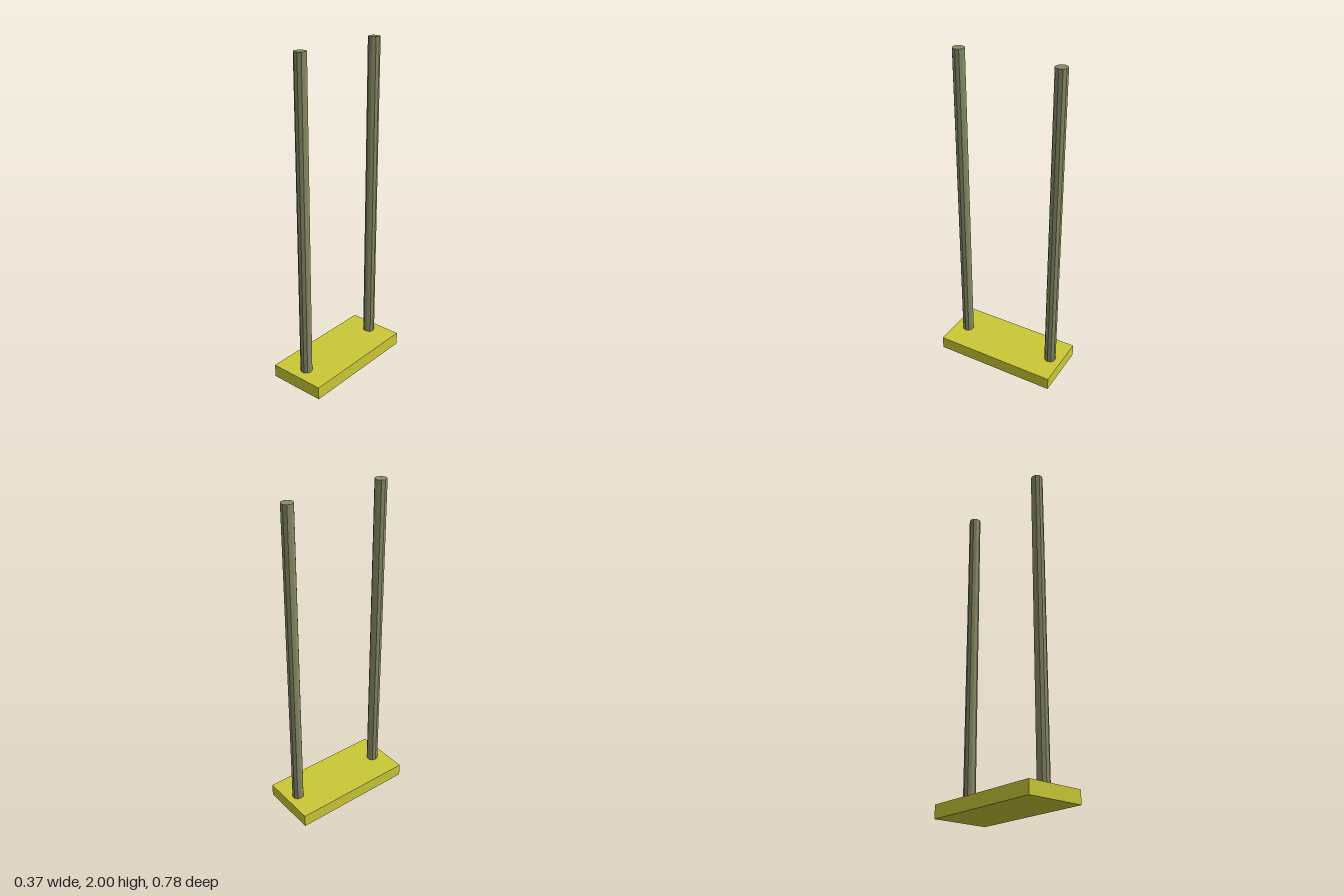
import * as THREE from 'three';

export function createModel() {
  const model = new THREE.Group();
  const yellow = new THREE.MeshStandardMaterial({ color: 0xcac836, flatShading: true });
  const olive = new THREE.MeshStandardMaterial({ color: 0x888c66, flatShading: true });
  const baseHeight = 0.08, height = 2;

  // The whole assembly is turned very slightly about the vertical
  const assembly = new THREE.Group();
  assembly.name = 'postStand';
  assembly.rotation.y = -0.0135;
  model.add(assembly);

  // Flat base plate
  const base = new THREE.Mesh(new THREE.BoxGeometry(0.358, baseHeight, 0.777), yellow);
  base.name = 'basePlate';
  base.position.y = baseHeight / 2;
  assembly.add(base);

  // Ten-sided posts, a corner pointing to each side
  const postGeometry = new THREE.CylinderGeometry(0.036, 0.036, height - baseHeight, 10);
  postGeometry.rotateY(Math.PI / 10);
  for (const [name, z] of [['frontPost', 0.301], ['backPost', -0.312]]) {
    const post = new THREE.Mesh(postGeometry, olive);
    post.name = name;
    post.position.set(0.002, (height + baseHeight) / 2, z);
    assembly.add(post);
  }
  return model;
}
